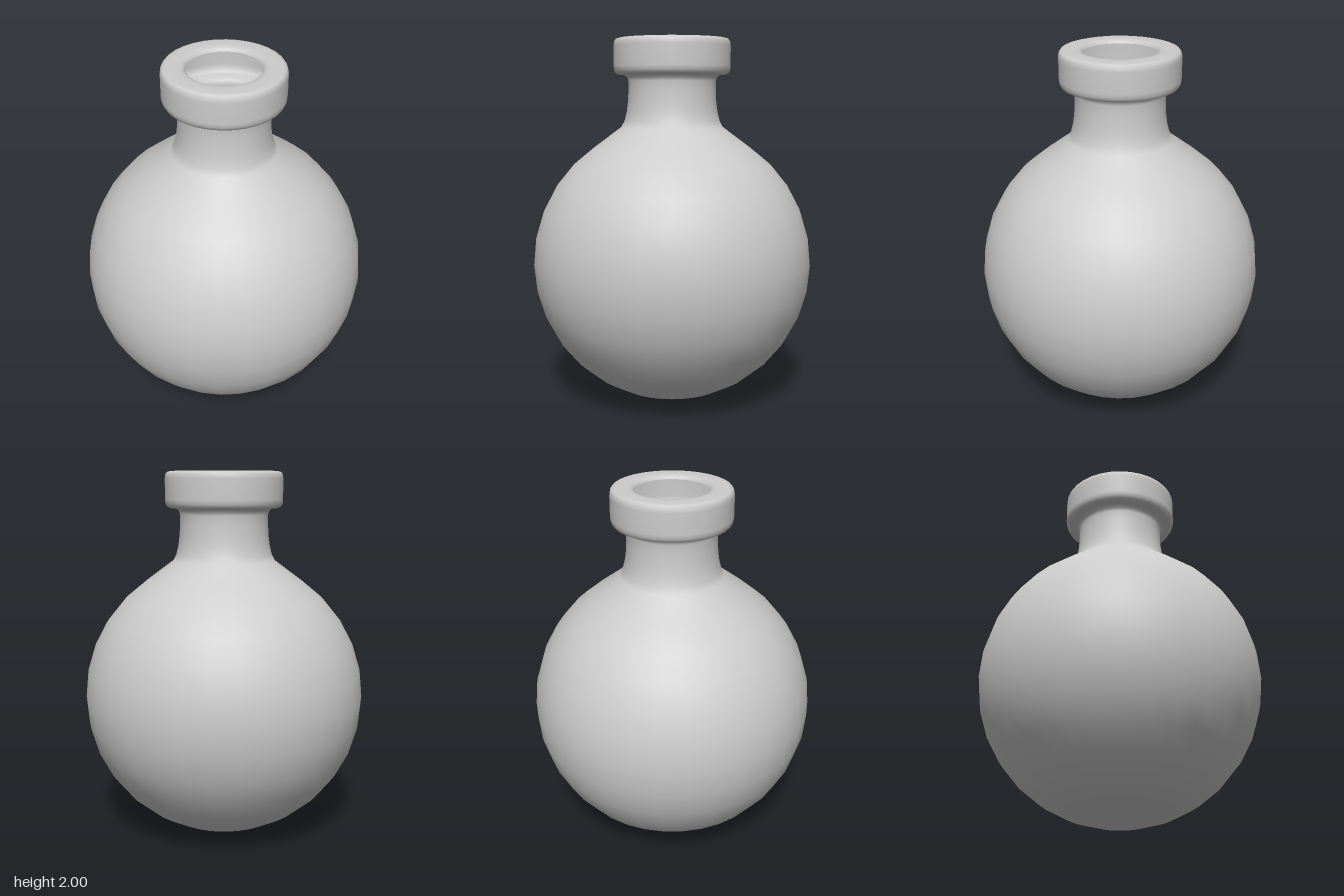
import * as THREE from 'three';

export function createModel() {
  const group = new THREE.Group();
  const material = new THREE.MeshStandardMaterial({ color: 0xcccccc, side: THREE.DoubleSide });
  const R = 0.77;
  const profile = [];

  // round body, from the bottom pole up to the shoulder
  for (let i = 0; i <= 13; i++) {
    const a = (i * Math.PI) / 16;
    profile.push(new THREE.Vector2(R * Math.sin(a), R - R * Math.cos(a)));
  }

  // shoulder fillet, neck, rounded lip, ending at the open mouth
  const upper = [
    [0.28, 1.52], [0.262, 1.555], [0.25, 1.605], [0.243, 1.66], [0.24, 1.72], [0.24, 1.77],
    [0.246, 1.79], [0.262, 1.802], [0.29, 1.804], [0.308, 1.811], [0.318, 1.828], [0.32, 1.85],
    [0.32, 1.96], [0.317, 1.982], [0.308, 1.995], [0.29, 2.0],
    [0.235, 2.0], [0.213, 1.998], [0.2, 1.991], [0.194, 1.98],
  ];
  profile.push(...upper.map(([r, y]) => new THREE.Vector2(r, y)));

  const flask = new THREE.Mesh(new THREE.LatheGeometry(profile, 32), material);
  flask.name = 'flask';
  group.add(flask);
  return group;
}
